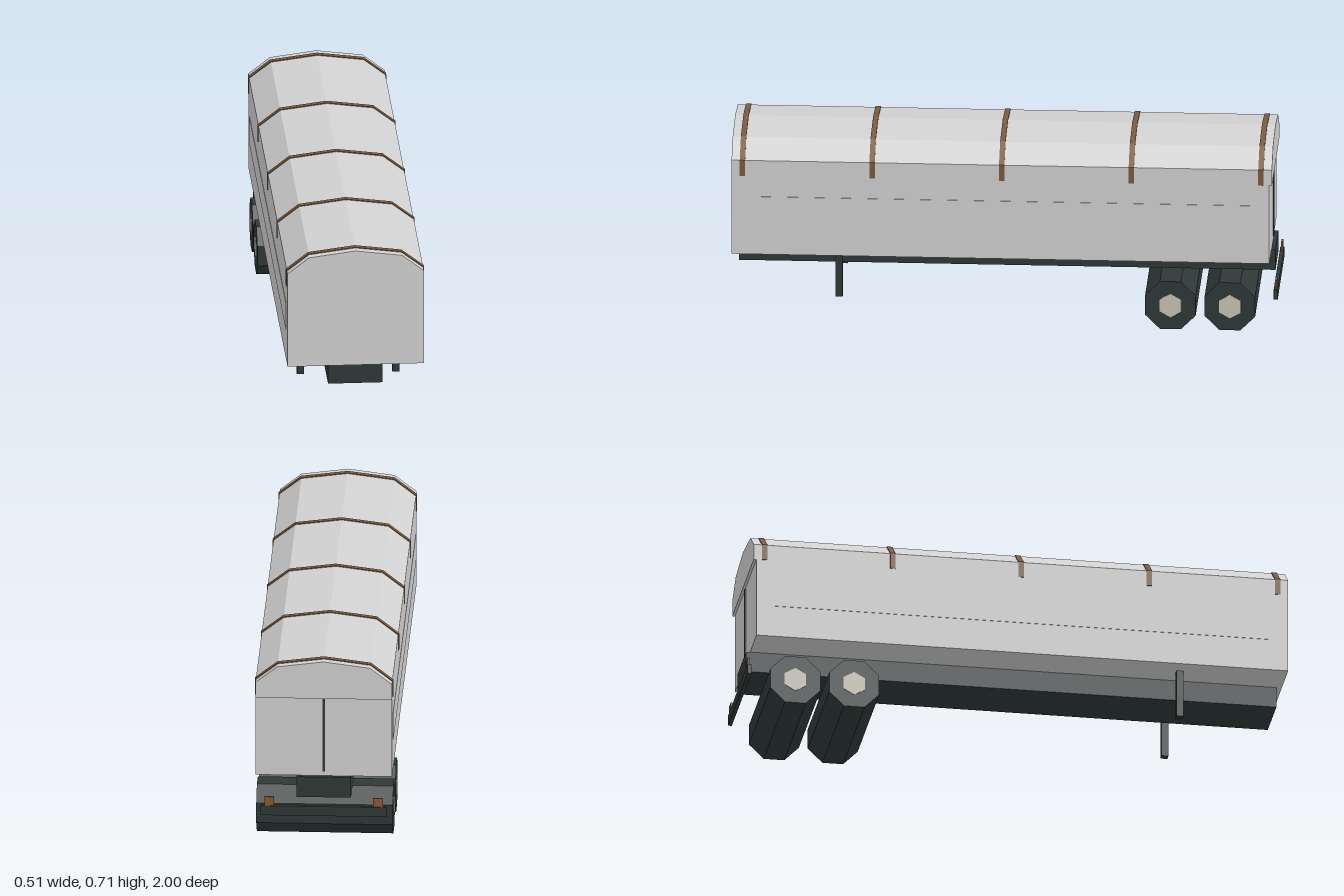
import * as THREE from 'three';

const material = (name, color, flat = true) => {
  const m = new THREE.MeshStandardMaterial({ color, flatShading: flat });
  m.name = name;
  return m;
};

export function createModel() {
  const group = new THREE.Group();
  const white = material('pale grey', 0xd2d2d2);
  const dark = material('dark slate', 0x2f3938);
  const cream = material('hub cream', 0xcac6b6);
  const brown = material('strap brown', 0x7c5b3e);
  const amber = material('reflector amber', 0x8a5a32);

  const add = (name, geometry, mat) => {
    const mesh = new THREE.Mesh(geometry, mat);
    mesh.name = name;
    group.add(mesh);
    return mesh;
  };
  // Box given by its limits on each axis
  const box = (name, mat, x0, x1, y0, y1, z0, z1) =>
    add(name, new THREE.BoxGeometry(x1 - x0, y1 - y0, z1 - z0), mat)
      .position.set((x0 + x1) / 2, (y0 + y1) / 2, (z0 + z1) / 2);
  // Outline extruded along z
  const extrude = (name, mat, points, z0, z1) => {
    const shape = new THREE.Shape(points.map(([x, y]) => new THREE.Vector2(x, y)));
    const g = new THREE.ExtrudeGeometry(shape, { depth: z1 - z0, bevelEnabled: false });
    add(name, g.translate(0, 0, z0), mat);
  };
  // Arched section from the right foot, over the roof, to the left foot
  const arch = (foot, out = 0) => [
    [0.25 + out, foot], [0.25 + out, 0.627 + out * 0.5], [0.17 + out * 0.4, 0.689 + out],
    [0, 0.711 + out],
    [-0.17 - out * 0.4, 0.689 + out], [-0.25 - out, 0.627 + out * 0.5], [-0.25 - out, foot],
  ];

  // Cargo body with the cover overhanging the rear doors
  extrude('cargoBody', white, arch(0.262), -0.97, 1);
  extrude('rearCoverFlap', white, arch(0.567), -0.98, -0.97);
  box('doorSeam', dark, -0.005, 0.005, 0.28, 0.56, -0.975, -0.969);

  // Straps over the cover
  for (let i = 0; i < 5; i++) {
    const z = 0.96 - i * 0.475;
    extrude('strap', brown, [...arch(0.567, 0.003), ...arch(0.567).reverse()], z - 0.01, z + 0.01);
  }

  // Chassis
  box('chassis', dark, -0.1, 0.1, 0.183, 0.262, -0.985, 0.98);

  // Side panels, landing legs and reflectors on both sides
  for (const s of [-1, 1]) {
    const pair = (a, b) => (s > 0 ? [a, b] : [-b, -a]);
    box('sidePanel', white, ...pair(0.249, 0.252), 0.383, 0.487, -0.907, 0.934);
    box('landingLeg', dark, ...pair(0.162, 0.188), 0.08, 0.262, 0.596, 0.622);
    box('reflector', amber, ...pair(0.182, 0.217), 0.152, 0.186, -0.997, -0.99);
  }

  // Rear bumper
  box('rearBumper', dark, -0.23, 0.23, 0.115, 0.152, -1, -0.985);

  // Octagonal wheel rollers with hexagonal hubs
  const radius = 0.0925 / Math.cos(Math.PI / 8);
  const wheel = new THREE.CylinderGeometry(radius, radius, 0.5, 8)
    .rotateY(Math.PI / 8).rotateZ(Math.PI / 2);
  const hub = new THREE.CylinderGeometry(0.046, 0.046, 0.006, 6)
    .rotateY(Math.PI / 6).rotateZ(Math.PI / 2);
  for (const z of [-0.608, -0.826]) {
    add('wheels', wheel, dark).position.set(0, 0.0925, z);
    for (const s of [-1, 1]) add('hub', hub, cream).position.set(s * 0.249, 0.0925, z);
  }
  return group;
}
